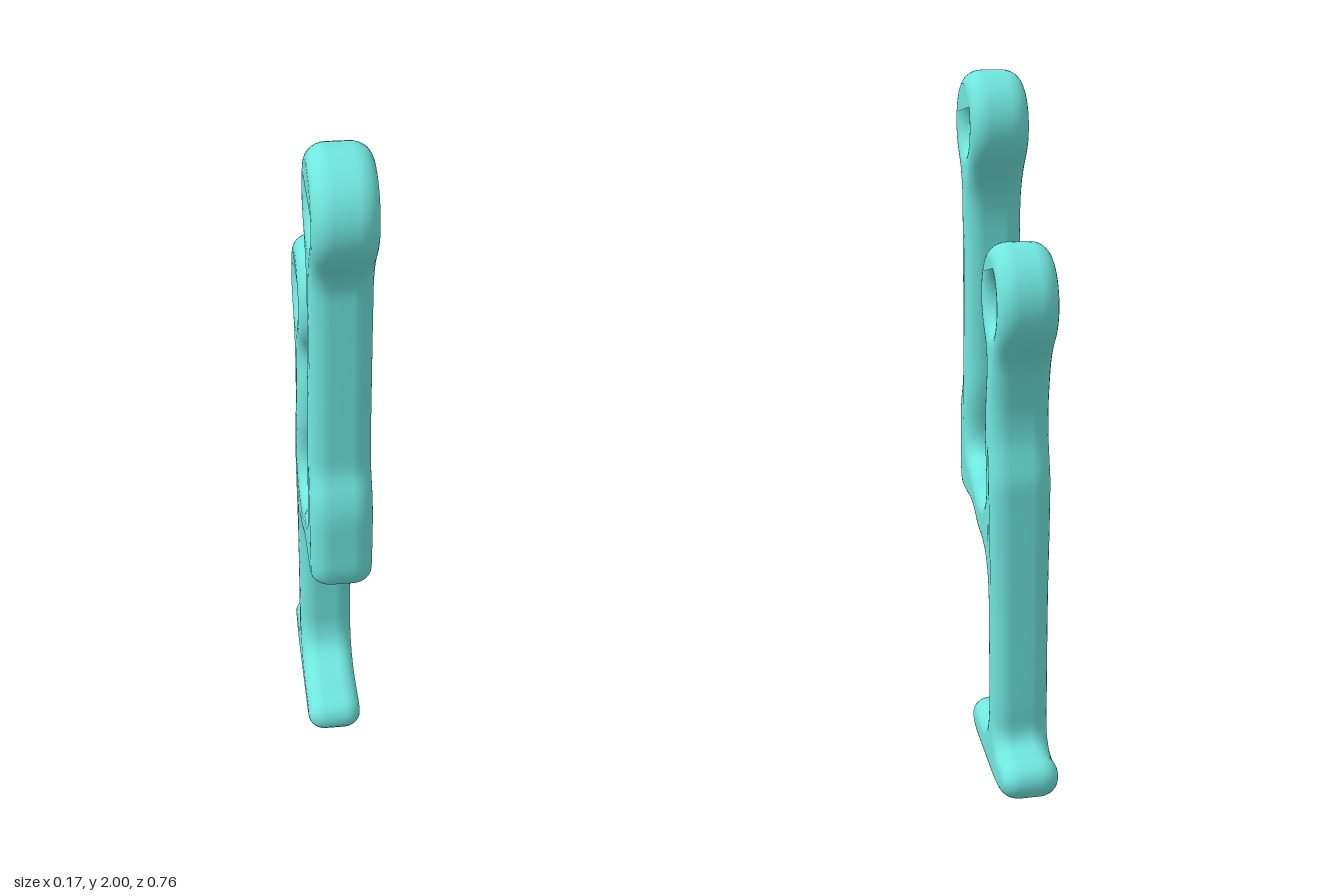
import * as THREE from 'three';
import { mergeVertices } from 'three/addons/utils/BufferGeometryUtils.js';

const BEVEL = 0.044;      // rounding of the side outline
const ROUND = 0.052;      // rounding across the thickness
const HALF = 0.081;       // half thickness along x

// outer arc of an eyelet, running over the top from the front to the back
function eyeArc(z, y, rz, ry) {
  const points = [];
  for (let i = 0; i <= 14; i++) {
    const a = THREE.MathUtils.degToRad(-35 + (250 * i) / 14);
    points.push([z + rz * Math.cos(a), y + ry * Math.sin(a)]);
  }
  return points;
}

// round opening of an eyelet
function eyeHole(z, y, rz, ry) {
  return new THREE.Path().absellipse(z, y, rz, ry, 0, Math.PI * 2, true);
}

export function createModel() {
  const group = new THREE.Group();
  group.name = 'linkageBracket';

  // side outline as (z, y) sections, from the front of the foot upwards
  const footFront = [
    [0.145, 0.02], [0.166, 0.06], [0.147, 0.104], [0.105, 0.12], [0.03, 0.12],
    [-0.04, 0.128], [-0.085, 0.155], [-0.108, 0.21],
  ];
  const underArm = [
    [-0.112, 0.3], [-0.112, 0.45], [-0.112, 0.56], [-0.104, 0.62], [-0.08, 0.663],
    [-0.035, 0.685], [0.0, 0.69], [0.04, 0.705], [0.09, 0.731], [0.14, 0.74],
    [0.26, 0.74], [0.31, 0.756], [0.328, 0.8], [0.328, 0.88],
  ];
  const frontPostOuter = [
    [0.325, 1.0], [0.31, 1.06], [0.289, 1.11], [0.285, 1.2], [0.285, 1.4],
    [0.285, 1.6], [0.287, 1.66], [0.306, 1.71],
  ];
  const frontPostInner = [
    [0.13, 1.71], [0.157, 1.66], [0.169, 1.6], [0.17, 1.4], [0.17, 1.2],
    [0.169, 1.1], [0.179, 1.03], [0.19, 0.97], [0.185, 0.92],
  ];
  const overArm = [
    [0.162, 0.895], [0.12, 0.885], [0.08, 0.868], [0.04, 0.838], [0.0, 0.825],
    [-0.05, 0.828], [-0.088, 0.85], [-0.106, 0.89],
  ];
  const rearPostInner = [
    [-0.1, 0.95], [-0.083, 1.02], [-0.082, 1.1], [-0.086, 1.16], [-0.098, 1.22],
    [-0.094, 1.265],
  ];
  const rearPostOuter = [
    [-0.262, 1.285], [-0.24, 1.25], [-0.224, 1.2], [-0.206, 1.12], [-0.203, 1.04],
    [-0.214, 0.98], [-0.224, 0.93], [-0.225, 0.85], [-0.225, 0.5], [-0.225, 0.25],
  ];
  const footBack = [
    [-0.223, 0.18], [-0.236, 0.148], [-0.268, 0.137], [-0.33, 0.144], [-0.365, 0.125],
    [-0.378, 0.09], [-0.36, 0.05], [-0.31, 0.02], [-0.24, 0.004], [-0.05, 0], [0.1, 0.003],
  ];
  const points = [
    ...footFront, ...underArm, ...frontPostOuter,
    ...eyeArc(0.217, 1.85, 0.163, 0.15),
    ...frontPostInner, ...overArm, ...rearPostInner,
    ...eyeArc(-0.172, 1.42, 0.158, 0.155),
    ...rearPostOuter, ...footBack,
  ].map(([z, y]) => new THREE.Vector3(z, y, 0));

  const curve = new THREE.CatmullRomCurve3(points, true, 'centripetal');
  curve.arcLengthDivisions = 1500;
  const outline = curve.getSpacedPoints(320).slice(0, -1);
  const shape = new THREE.Shape(outline.map((p) => new THREE.Vector2(p.x, p.y)));
  shape.holes.push(eyeHole(0.22, 1.852, 0.068, 0.068));
  shape.holes.push(eyeHole(-0.17, 1.417, 0.067, 0.071));

  // thick plate with fully rounded rims, turned to lie in the y-z plane
  const depth = 2 * (HALF - ROUND);
  let geometry = new THREE.ExtrudeGeometry(shape, {
    depth, curveSegments: 20, bevelEnabled: true, bevelSegments: 7,
    bevelSize: BEVEL, bevelOffset: -BEVEL, bevelThickness: ROUND,
  });
  geometry.translate(0, 0, -depth / 2);
  geometry.rotateY(-Math.PI / 2);

  // slight swelling where the arm joins the posts
  const pos = geometry.attributes.position;
  for (let i = 0; i < pos.count; i++) {
    const d = (pos.getY(i) - 0.9) / 0.25;
    pos.setX(i, pos.getX(i) * (1 + 0.06 * Math.exp(-d * d)));
  }

  // weld for smooth shading
  geometry.deleteAttribute('uv');
  geometry.deleteAttribute('normal');
  geometry = mergeVertices(geometry, 1e-5);
  geometry.computeVertexNormals();

  const body = new THREE.Mesh(geometry, new THREE.MeshStandardMaterial({ color: 0x6fe6de }));
  body.name = 'footPostsAndEyelets';
  group.add(body);
  return group;
}
